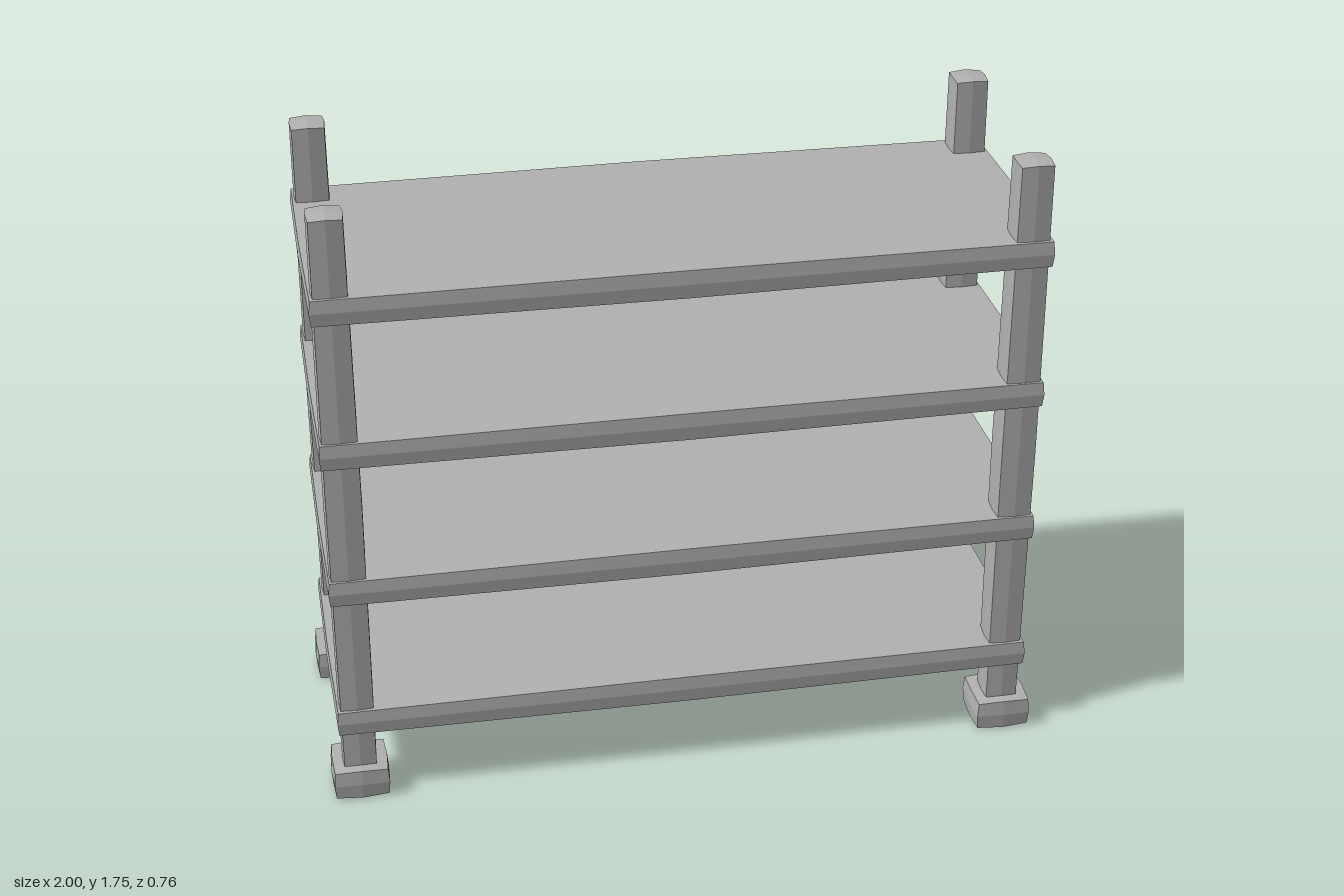
import * as THREE from 'three';

const BULGE = 0.007;

// Box whose faces swell slightly toward their middles, with faceted normals
function softBlock(w, h, d) {
  const half = [w / 2, h / 2, d / 2];
  const geo = new THREE.BoxGeometry(w, h, d, 2, 2, 2);
  const pos = geo.attributes.position;
  for (let i = 0; i < pos.count; i++) {
    const n = [pos.getX(i) / half[0], pos.getY(i) / half[1], pos.getZ(i) / half[2]];
    const out = n.map((v, a) => {
      const u = n[(a + 1) % 3], t = n[(a + 2) % 3];
      const swell = BULGE * (1 - (u * u + t * t) / 2);
      return v * (half[a] - BULGE + swell);
    });
    pos.setXYZ(i, ...out);
  }
  const flat = geo.toNonIndexed();
  flat.computeVertexNormals();
  return flat;
}

export function createModel() {
  const model = new THREE.Group();
  model.name = 'shelvingUnit';
  const grey = new THREE.MeshStandardMaterial({ color: 0xb2b2b2 });
  grey.name = 'grey';

  const add = (name, geo, x, y, z) => {
    const mesh = new THREE.Mesh(geo, grey);
    mesh.name = name;
    mesh.position.set(x, y, z);
    model.add(mesh);
  };

  // Four corner posts, each on a square foot
  const post = softBlock(0.102, 1.7, 0.102);
  const foot = softBlock(0.16, 0.095, 0.16);
  for (const x of [-0.92, 0.92]) {
    for (const z of [-0.302, 0.302]) {
      const place = (z > 0 ? 'front' : 'back') + (x > 0 ? 'Left' : 'Right');
      add(place + 'Post', post, x, 0.9, z);
      add(place + 'Foot', foot, x, 0.0525, z);
    }
  }

  // Four evenly spaced shelves
  const shelf = softBlock(1.96, 0.086, 0.73);
  for (let i = 0; i < 4; i++) add('shelf' + (i + 1), shelf, 0, 0.245 + i * 0.417, 0);

  return model;
}
